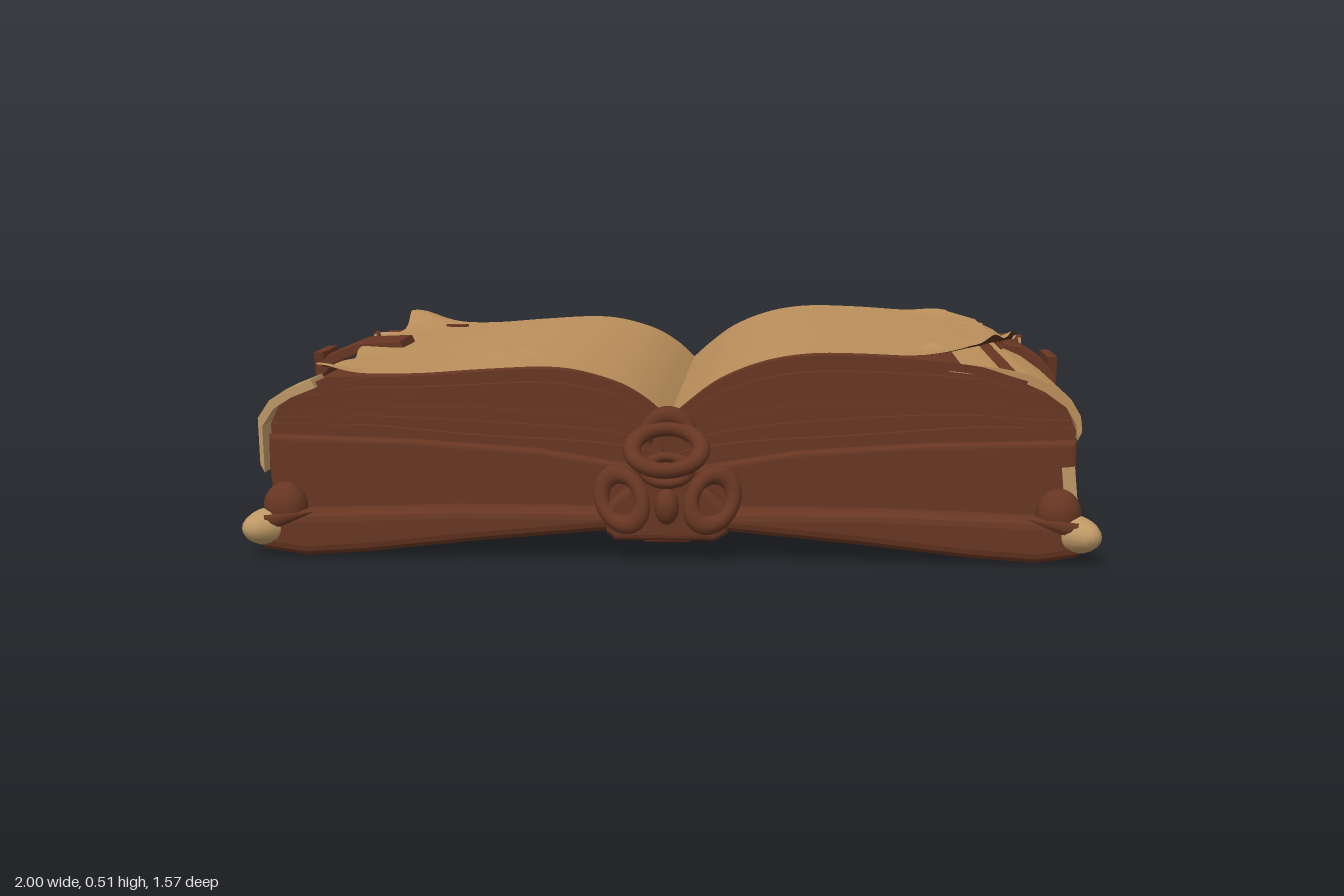
import * as THREE from 'three';

const mat = (name, color, side = THREE.FrontSide) => {
  const m = new THREE.MeshStandardMaterial({ color, side });
  m.name = name;
  return m;
};
const V2 = (p) => new THREE.Vector2(p[0], p[1]);

export function createModel() {
  const book = new THREE.Group();
  book.name = 'openBook';
  const leather = mat('leather', 0x673622);
  const paper = mat('paper', 0xbb8f5b);
  const trim = mat('wornTrim', 0xbd9866);
  const underside = mat('pageUnderside', 0x5c3222, THREE.BackSide);

  const add = (name, geo, material, pos = [0, 0, 0], rot = [0, 0, 0], scale = [1, 1, 1]) => {
    const m = new THREE.Mesh(geo, material);
    m.name = name;
    m.position.set(...pos);
    m.rotation.set(...rot);
    m.scale.set(...scale);
    book.add(m);
    return m;
  };
  // cross-section in x/y drawn for the +x half, mirrored by s, running from z0 to z1
  const run = (name, pts, z0, z1, s, material, bevel = 0) => {
    const shape = new THREE.Shape(pts.map(([x, y]) => new THREE.Vector2(x * s, y)));
    const geo = new THREE.ExtrudeGeometry(shape, {
      depth: z1 - z0 - 2 * bevel, bevelEnabled: bevel > 0, bevelSize: bevel,
      bevelOffset: -bevel, bevelThickness: bevel, bevelSegments: 3,
    });
    return add(name, geo, material, [0, 0, z0 + bevel]);
  };
  // thin band following a list of points
  const band = (pts, t) => [...pts, ...pts.map(([x, y]) => [x - t * 0.5, y - t]).reverse()];

  // height of the open pages against distance from the gutter
  const curve = (pts) => {
    const c = new THREE.SplineCurve(pts.map(V2)).getPoints(80);
    return (a) => {
      let i = 1;
      while (i < c.length - 1 && c[i].x < a) i++;
      const t = Math.min(1, Math.max(0, (a - c[i - 1].x) / (c[i].x - c[i - 1].x)));
      return c[i - 1].y + (c[i].y - c[i - 1].y) * t;
    };
  };
  const tops = {
    '-1': curve([[0, 0.325], [0.05, 0.37], [0.12, 0.41], [0.22, 0.437], [0.32, 0.443], [0.45, 0.435], [0.6, 0.424], [0.75, 0.42], [0.86, 0.418]]),
    '1': curve([[0, 0.325], [0.05, 0.37], [0.12, 0.42], [0.22, 0.46], [0.32, 0.477], [0.45, 0.478], [0.6, 0.468], [0.75, 0.452], [0.86, 0.438]]),
  };
  const bump = (x, z, cx, cz, r, h) => h * Math.exp(-((x - cx) ** 2 + (z - cz) ** 2) / (r * r));
  const steps = (n, f) => Array.from({ length: n + 1 }, (_, i) => f(i / n));

  for (const s of [-1, 1]) {
    const top = tops[s];

    // cover board with rounded edges
    run('coverBoard', [[0.02, 0.075], [0.15, 0.066], [0.45, 0.038], [0.7, 0.01], [0.85, 0], [0.945, 0.014], [0.968, 0.04],
      [0.962, 0.085], [0.93, 0.105], [0.5, 0.12], [0.02, 0.12]], -0.76, 0.7, s, leather, 0.025);

    // page block with a sloping outer shoulder
    run('pageBlock', [[0, 0.08], [0.92, 0.08], [0.93, 0.2], [0.945, 0.3], [0.92, 0.358], [0.85, 0.398],
      ...steps(24, (t) => [0.8 * (1 - t), top(0.8 * (1 - t)) - 0.004])], -0.64, 0.618, s, leather);

    // box wall at the back, lower than the pages
    run('backWall', [[0, 0.08], [0.945, 0.07], [0.95, 0.36], [0.86, 0.368], [0.6, 0.36], [0.35, 0.345], [0.15, 0.315], [0, 0.25]],
      -0.75, -0.64, s, leather, 0.008);

    // lower leather body at the front
    run('frontBody', [[0, 0.08], [0.93, 0.06], [0.945, 0.2], [0.945, 0.28], [0.6, 0.27], [0.3, 0.25], [0, 0.2]], 0.6, 0.645, s, leather, 0.012);

    // fanned page layers, seen at the front and above the back wall
    for (let i = 0; i < 7; i++) {
      const k = i / 6;
      const y = (a) => (0.22 + 0.08 * a) * (1 - k) + (top(Math.min(a, 0.82)) - 0.004 - 0.2 * Math.max(0, a - 0.72)) * k;
      const end = 0.94 - 0.11 * k * k;
      const jut = 0.006 * ((i * 3) % 4);
      run('pageLayer', band(steps(24, (t) => [0.02 + (end - 0.02) * t, y(0.02 + (end - 0.02) * t) + 0.004 * (1 - k) * Math.sin(9 * t + i)]), 0.018),
        -0.645 - jut, 0.62 + jut, s, leather);
    }

    // open top sheet with worn edges, small dents and a curled outer corner
    const edge = (z) => s < 0
      ? 0.838 + 0.006 * Math.sin(17 * z) - 0.03 * Math.max(0, (z + 0.05) / 0.67) * Math.sin(5 * z) ** 2
      : 0.828 + 0.005 * Math.sin(23 * z) - 0.13 * Math.max(0, (z - 0.2) / 0.42) ** 3 - (z < -0.6 ? 0.08 : 0);
    const sheet = new THREE.PlaneGeometry(1, 1, 60, 80);
    const p = sheet.attributes.position;
    for (let i = 0; i < p.count; i++) {
      const u = p.getX(i) + 0.5;
      const a = s > 0 ? u : 1 - u;
      const zc = -0.65 + 1.275 * (0.5 - p.getY(i));
      const x = s * a * edge(zc);
      const z = zc + (Math.abs(zc) > 0.6 ? 0.003 * (Math.sin(31 * x) + Math.sin(13 * x + 1)) : 0);
      const out = Math.max(0, (a - 0.75) / 0.25);
      let y = top(Math.abs(x)) + 0.0015 * (1 + Math.sin(7 * z + 5 * x)) * a;
      y += s > 0
        ? out * out * (0.07 * Math.min(0.5, Math.max(0, z + 0.1)) + 0.008 * Math.sin(38 * z) * (z > 0.2 ? 1 : 0.3) + bump(0, z, 0, 0.42, 0.22, 0.024)) + bump(x, z, 0.72, -0.63, 0.07, 0.015)
        : out * out * (0.004 + 0.004 * Math.sin(20 * z)) + bump(x, z, -0.83, 0.6, 0.07, 0.025) + bump(x, z, -0.83, -0.64, 0.09, 0.04);
      y += bump(x, z, -0.4, 0.31, 0.075, 0.014) - bump(x, z, -0.39, 0.31, 0.035, 0.014) + bump(x, z, 0.635, 0.37, 0.03, 0.015);
      p.setXYZ(i, x, y, z);
    }
    sheet.computeVertexNormals();
    add('topSheet', sheet, paper);
    add('topSheetUnderside', sheet, underside);

    // clasp strap folded over the fore edge
    const strap = s > 0
      ? [[0.835, 0.446], [0.88, 0.438], [0.935, 0.405], [0.968, 0.365], [0.976, 0.32]]
      : [[0.745, 0.441], [0.86, 0.436], [0.935, 0.405], [0.968, 0.37], [0.976, 0.32]];
    run('strap', band(strap, 0.026), -0.11, 0.06, s, leather, 0.004);
    const tip = new THREE.Shape([[-0.085, 0.09], [0.085, 0.09], [0.06, -0.04], [0.04, -0.055], [-0.04, -0.055], [-0.06, -0.04]].map(V2));
    add('strapTip', new THREE.ExtrudeGeometry(tip, { depth: 0.025, bevelEnabled: false }), leather,
      [s * 0.95, 0.32, -0.025], [0, s * Math.PI / 2, 0]);
    for (const z of [-0.07, 0.02])
      add('strapRivet', new THREE.SphereGeometry(0.014, 12, 8), leather, [s * 0.976, 0.295, z]);

    // worn round studs along the fore edge
    for (const z of [0.2, -0.24, -0.58]) {
      add('stud', new THREE.CylinderGeometry(0.044, 0.054, 0.025, 11), trim, [s * 0.942, 0.2, z], [0, 0, -s * Math.PI / 2]);
      add('studKnob', new THREE.SphereGeometry(0.02, 12, 8), trim, [s * 0.95, 0.203, z]);
      add('studRing', new THREE.TorusGeometry(0.03, 0.009, 8, 18), trim, [s * 0.95, 0.2, z], [0, Math.PI / 2, 0]);
    }

    // leather ridges along the fore edge
    for (const [x, y, r] of [[0.942, 0.27, 0.014], [0.934, 0.235, 0.01], [0.94, 0.1, 0.018]]) {
      const path = new THREE.CatmullRomCurve3(steps(8, (t) => new THREE.Vector3(s * x, y + 0.006 * Math.sin(11 * t + y * 30), -0.65 + 1.28 * t)));
      add('sideRidge', new THREE.TubeGeometry(path, 40, r, 8), leather);
    }

    // front corner caps with pointed tips
    add('frontCornerLeather', new THREE.SphereGeometry(1, 18, 12), leather, [s * 0.905, 0.11, 0.65], [0, s * 0.6, 0], [0.055, 0.06, 0.05]);
    add('frontCornerCap', new THREE.SphereGeometry(1, 18, 12), trim, [s * 0.935, 0.066, 0.655], [0, s * 0.6, 0], [0.052, 0.045, 0.085]);
    add('cornerTip', new THREE.ConeGeometry(0.022, 0.12, 8), leather, [s * 0.88, 0.095, 0.705], [0.3, 0, s * 1.3], [1, 1, 0.6]);
    add('cornerTip', new THREE.ConeGeometry(0.026, 0.13, 8), trim, [s * 0.962, 0.085, 0.61], [-1.4, 0, 0], [0.7, 1, 1]);

    // back corner posts, caps and worn plates
    add('backCornerPost', new THREE.BoxGeometry(0.07, 0.32, 0.085), leather, [s * 0.925, 0.215, -0.7]);
    add('backCornerCap', new THREE.SphereGeometry(1, 18, 12), leather, [s * 0.935, 0.066, -0.715], [0, -s * 0.6, 0], [0.055, 0.05, 0.075]);
    add('backCornerSidePlate', new THREE.BoxGeometry(0.008, 0.18, 0.082), trim, [s * 0.962, 0.295, -0.69]);
    add('backCornerLowPlate', new THREE.BoxGeometry(0.009, 0.055, 0.09), trim, [s * 0.982, 0.08, -0.685], [0.3, 0, 0]);
    const patch = new THREE.Shape([[0, 0], [0.16, 0], [0.17, 0.07], [0.13, 0.095], [0.06, 0.075], [0.02, 0.08]].map(([x, y]) => new THREE.Vector2(-s * x, y)));
    add('backCornerTopPlate', new THREE.ExtrudeGeometry(patch, { depth: 0.008, bevelEnabled: false }), trim,
      [s * 0.965, 0.384, -0.733], [Math.PI / 2, 0, 0]);
    for (const [x, z, ry] of [[0.9, -0.745, 0.1], [0.965, -0.7, 1.4]])
      add('backCornerLip', new THREE.CapsuleGeometry(0.011, 0.07, 4, 8), leather, [s * x, 0.378, z], [0, s * ry, Math.PI / 2]);
  }

  // exposed lower sheets on the right shoulder, split by leather bands
  const shoulder = [[0.66, 0.458], [0.75, 0.449], [0.83, 0.434], [0.88, 0.412], [0.93, 0.376], [0.953, 0.337], [0.957, 0.3]];
  run('lowerSheets', band(shoulder, 0.02), -0.645, 0.63, 1, paper);
  for (const [y, z0, z1, tilt] of [[0.322, -0.64, -0.15, -0.03], [0.322, 0.15, 0.62, 0.03], [0.308, -0.3, 0.3, 0]])
    add('sheetGap', new THREE.BoxGeometry(0.008, 0.014, z1 - z0), leather, [0.954, y, (z0 + z1) / 2], [tilt, 0, 0]);
  add('shadedSheetEdge', new THREE.BoxGeometry(0.006, 0.022, 0.68), leather, [0.824, 0.43, -0.22]);

  // worn patches on the front corners
  run('leftCornerPatch', band([[0.84, 0.412], [0.9, 0.388], [0.94, 0.362], [0.968, 0.32], [0.965, 0.21]], 0.02), 0.53, 0.645, -1, trim);
  add('rightCornerPatch', new THREE.BoxGeometry(0.03, 0.1, 0.008), trim, [0.93, 0.17, 0.645], [0, 0, 0.1]);

  // stain on the left page
  add('pageStain', new THREE.CylinderGeometry(0.03, 0.03, 0.006, 12), leather, [-0.69, 0.426, -0.525], [0, 0, 0], [1.1, 1, 0.6]);

  // spine rail under the book and its back end
  run('spineRail', [[-0.07, 0.06], [-0.05, 0.042], [0.05, 0.042], [0.07, 0.06], [0.07, 0.1], [-0.07, 0.1]], -0.765, 0.7, 1, leather, 0.01);
  run('spineBackPlate', [[-0.13, 0.06], [0.13, 0.06], [0.13, 0.11], [0.05, 0.18], [0.025, 0.26], [-0.025, 0.26], [-0.05, 0.18], [-0.13, 0.11]], -0.768, -0.7, 1, leather, 0.012);

  // looped ornament on the front of the spine
  run('ornamentBase', [[-0.14, 0.065], [-0.12, 0.048], [0.11, 0.048], [0.14, 0.065], [0.15, 0.12], [0.06, 0.2], [-0.06, 0.2], [-0.15, 0.12]], 0.62, 0.71, 1, leather, 0.015);
  add('ornamentTopRing', new THREE.TorusGeometry(0.073, 0.019, 10, 28), leather, [0, 0.265, 0.715], [-0.95, 0, 0], [1.1, 0.95, 1]);
  add('ornamentInnerRing', new THREE.TorusGeometry(0.04, 0.015, 10, 24), leather, [0, 0.215, 0.71], [-0.4, 0, 0], [1.2, 0.8, 1]);
  add('ornamentHook', new THREE.TorusGeometry(0.055, 0.018, 10, 20, Math.PI), leather, [0, 0.27, 0.655], [0, 0, 0], [1, 1.2, 1]);
  for (const s of [-1, 1])
    add('ornamentSideRing', new THREE.TorusGeometry(0.05, 0.019, 10, 26), leather, [s * 0.105, 0.145, 0.7], [-0.3, s * 0.3, -s * 0.5], [0.95, 1.25, 1]);
  add('ornamentDrop', new THREE.SphereGeometry(0.032, 14, 10), leather, [0, 0.13, 0.712], [0, 0, 0], [0.9, 1.3, 0.9]);

  return book;
}
